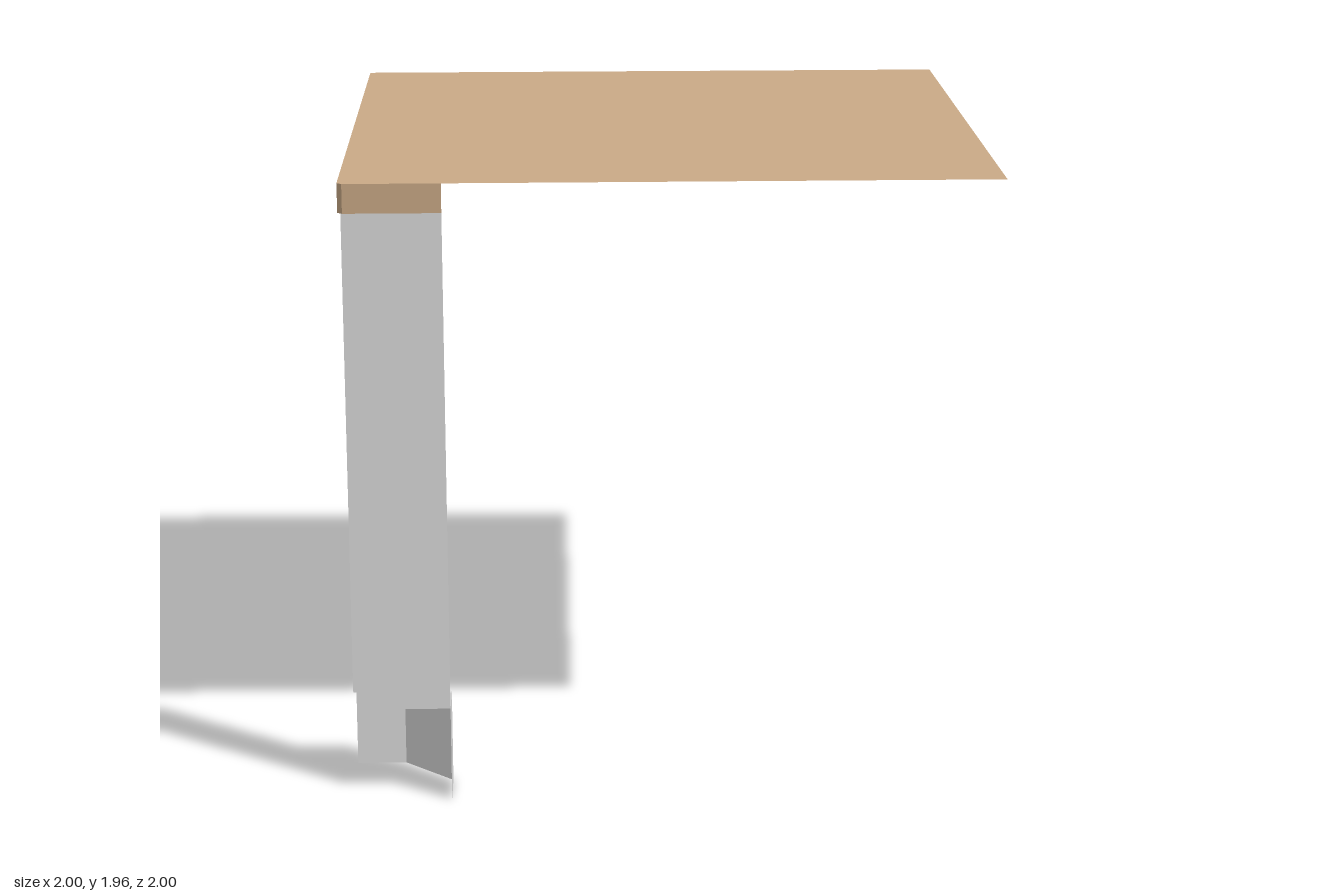
import * as THREE from 'three';

const wood = new THREE.MeshStandardMaterial({ color: 0xcaaa87, side: THREE.DoubleSide });
wood.name = 'wood';
const metal = new THREE.MeshStandardMaterial({ color: 0xdcdcdc, side: THREE.DoubleSide });
metal.name = 'light grey';

// Open upright panels following a path of [x, z] points, outer side on the right of travel
function panels(path, y0, y1) {
  const position = [];
  for (let i = 0; i < path.length - 1; i++) {
    const [ax, az] = path[i], [bx, bz] = path[i + 1];
    position.push(ax, y0, az, bx, y0, bz, bx, y1, bz);
    position.push(ax, y0, az, bx, y1, bz, ax, y1, az);
  }
  const geometry = new THREE.BufferGeometry();
  geometry.setAttribute('position', new THREE.Float32BufferAttribute(position, 3));
  geometry.computeVertexNormals();
  return geometry;
}

// Flat sheet outlined by [x, z] points at height y, facing up or down
function sheet(outline, y, facesUp = true) {
  const side = facesUp ? -1 : 1;
  const shape = new THREE.Shape(outline.map(([x, z]) => new THREE.Vector2(x, side * z)));
  return new THREE.ShapeGeometry(shape).rotateX(side * Math.PI / 2).translate(0, y, 0);
}

export function createModel() {
  const group = new THREE.Group();
  const add = (name, geometry, material) => {
    const mesh = new THREE.Mesh(geometry, material);
    mesh.name = name;
    group.add(mesh);
  };

  const inner = 0.69, mid = 0.845, cut = 0.985;
  const footTop = 0.3, legTop = 1.87, top = 1.96;

  // Thin square top with one tiny clipped corner
  add('tableTop', sheet([[-1, -1], [1, -1], [1, 1], [-cut, 1], [-1, cut]], top), wood);

  // Short apron around the corner and its underside above the leg notch
  add('cornerApron', panels([[-1, inner], [-1, cut], [-cut, 1], [-inner, 1]], legTop, top), wood);
  add('apronUnderside',
    sheet([[-1, mid], [-mid, mid], [-mid, 1], [-cut, 1], [-1, cut]], legTop, false), wood);

  // Leg of four panels, notched at the outer corner
  const legPath = [[-1, inner], [-1, mid], [-mid, mid], [-mid, 1], [-inner, 1]];
  add('leg', panels(legPath, footTop, legTop), metal);

  // Foot: inner panels with a bevel, closed by a shelf that meets the leg
  const footPath = [[-inner, 1], [-inner, mid], [-mid, inner], [-1, inner]];
  add('foot', panels(footPath, 0, footTop), metal);
  add('footShelf', sheet([...legPath, ...footPath.slice(1, 3)], footTop), metal);

  return group;
}
